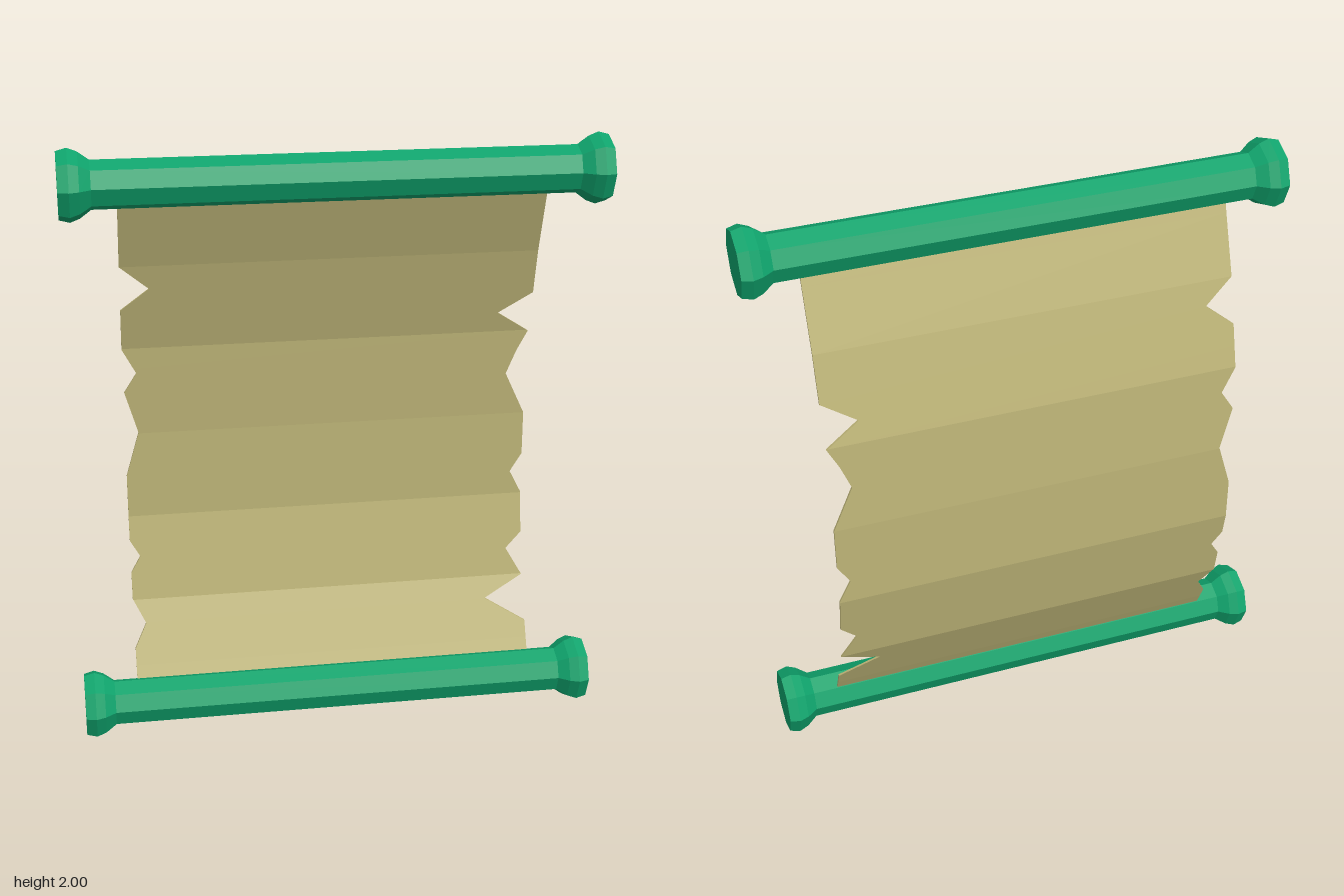
import * as THREE from 'three';

const green = new THREE.MeshStandardMaterial({ color: 0x0fa36c, flatShading: true });
const parchment = new THREE.MeshStandardMaterial({ color: 0xbdb477, flatShading: true });

const ROD_Z = 0.052;

// Value at y on a list of [y, value] points, sorted upwards
function sample(points, y) {
  let i = 1;
  while (i < points.length - 1 && y > points[i][0]) i++;
  const [y0, a] = points[i - 1], [y1, b] = points[i];
  return a + (b - a) * (y - y0) / (y1 - y0);
}

// Eight-sided rod with a flared knob at each end
function makeRod(name, y) {
  const rod = new THREE.Group();
  rod.name = name;
  const poleGeo = new THREE.CylinderGeometry(0.077, 0.077, 1.53, 8, 1, true).rotateZ(Math.PI / 2);
  const pole = new THREE.Mesh(poleGeo, green);
  pole.name = 'pole';
  rod.add(pole);

  const profile = [[0, 0.862], [0.106, 0.862], [0.115, 0.828], [0.103, 0.797], [0.077, 0.762]]
    .reverse().map(([r, h]) => new THREE.Vector2(r, h));
  const knobGeo = new THREE.LatheGeometry(profile, 8).rotateZ(-Math.PI / 2);
  for (const side of [1, -1]) {
    const knob = new THREE.Mesh(knobGeo, green);
    knob.name = side > 0 ? 'leftKnob' : 'rightKnob';
    if (side < 0) knob.rotation.y = Math.PI;
    rod.add(knob);
  }
  rod.position.set(0, y, ROD_Z);
  return rod;
}

// Thin curved sheet with torn side edges
function makeSheet() {
  const curve = [[0.13, 0.025], [0.215, -0.016], [0.417, -0.108], [0.703, -0.162],
    [1.0, -0.16], [1.303, -0.136], [1.597, -0.056], [1.79, 0.016], [1.86, 0.042]];
  const leftEdge = [[0.13, 0.678], [0.267, 0.678], [0.346, 0.54], [0.415, 0.678], [0.51, 0.623],
    [0.565, 0.678], [0.707, 0.678], [0.785, 0.638], [0.85, 0.678], [1.0, 0.678], [1.148, 0.608],
    [1.23, 0.64], [1.3, 0.676], [1.373, 0.565], [1.444, 0.678], [1.86, 0.678]];
  const rightEdge = [[0.13, -0.683], [0.267, -0.683], [0.343, -0.642], [0.42, -0.683],
    [0.51, -0.683], [0.565, -0.65], [0.62, -0.683], [0.85, -0.683], [1.003, -0.638],
    [1.148, -0.68], [1.215, -0.638], [1.3, -0.683], [1.443, -0.683], [1.517, -0.59],
    [1.597, -0.683], [1.86, -0.683]];

  // One row at every height where the curve or an edge bends
  const rows = [...new Set([...curve, ...leftEdge, ...rightEdge].map(p => p[0]))].sort((a, b) => a - b);
  const t = 0.004;
  const pos = [], index = [];
  rows.forEach((y, r) => {
    const z = sample(curve, y), l = sample(leftEdge, y), k = sample(rightEdge, y);
    pos.push(k, y, z + t, l, y, z + t, l, y, z - t, k, y, z - t);
    if (r === 0) return;
    for (let i = 0; i < 4; i++) {
      const j = (i + 1) % 4, lo = (r - 1) * 4, hi = r * 4;
      index.push(lo + i, lo + j, hi + j, lo + i, hi + j, hi + i);
    }
  });
  const geo = new THREE.BufferGeometry();
  geo.setAttribute('position', new THREE.Float32BufferAttribute(pos, 3));
  geo.setIndex(index);
  geo.computeVertexNormals();
  const sheet = new THREE.Mesh(geo, parchment);
  sheet.name = 'parchmentSheet';
  return sheet;
}

export function createModel() {
  const model = new THREE.Group();
  model.name = 'scroll';
  model.add(makeRod('bottomRod', 0.117), makeRod('topRod', 1.885), makeSheet());
  return model;
}
